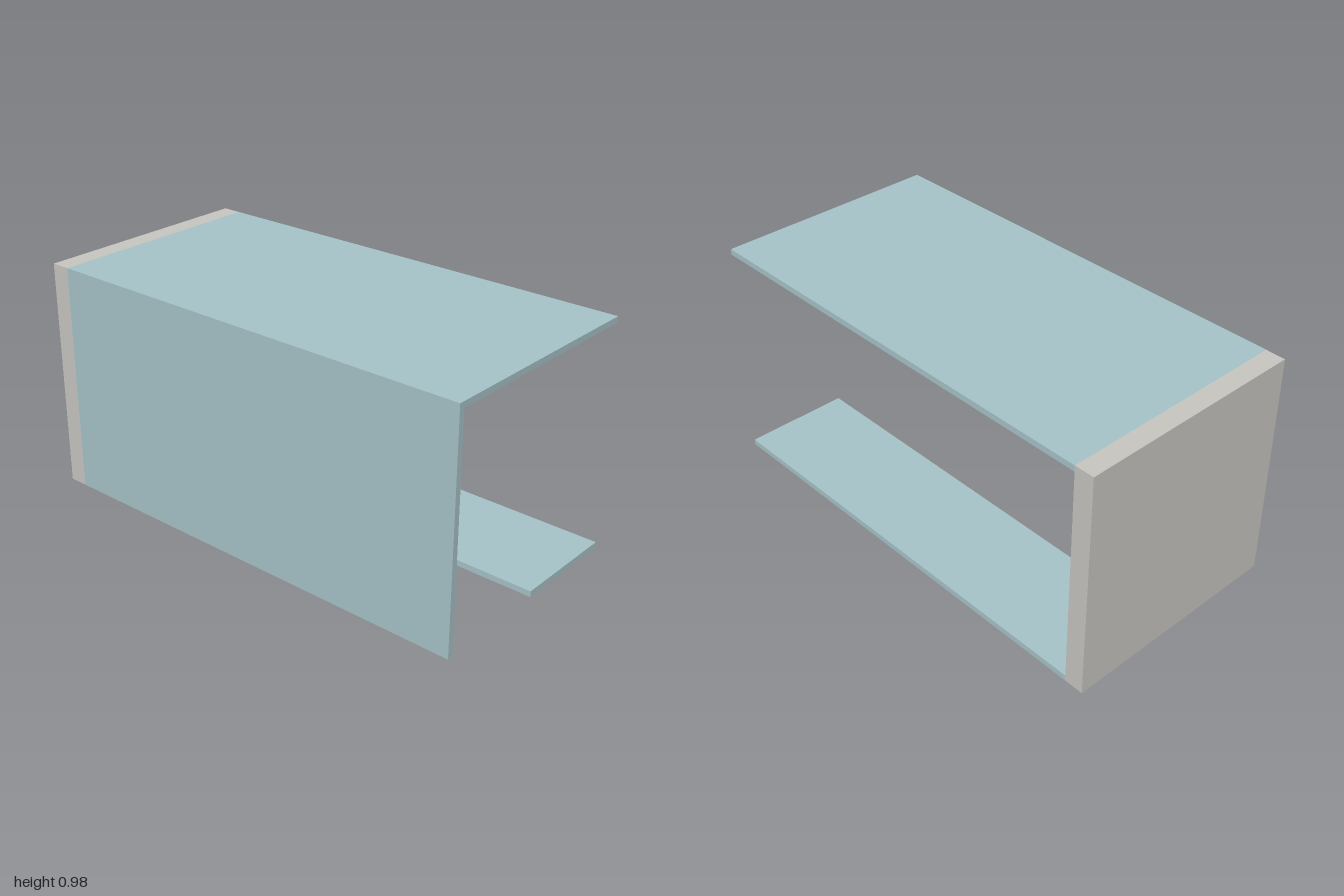
import * as THREE from 'three';

export function createModel() {
  const group = new THREE.Group();
  const material = (name, color) => {
    const m = new THREE.MeshStandardMaterial({ color });
    m.name = name;
    return m;
  };
  const panelBlue = material('panelBlue', 0xa8c5ca);
  const backGrey = material('backGrey', 0xcac7c2);
  const metal = material('metal', 0x92959b);

  const add = (name, geometry, mat, x, y, z) => {
    const mesh = new THREE.Mesh(geometry, mat);
    mesh.name = name;
    mesh.position.set(x, y, z);
    group.add(mesh);
    return mesh;
  };
  // Box given by its limits on each axis
  const slab = (name, mat, [x0, x1], [y0, y1], [z0, z1]) =>
    add(name, new THREE.BoxGeometry(x1 - x0, y1 - y0, z1 - z0), mat,
      (x0 + x1) / 2, (y0 + y1) / 2, (z0 + z1) / 2);

  const W = 0.49, H = 0.98, T = 0.025, backZ = -0.917;

  // Cabinet panels
  slab('backPanel', backGrey, [-W, W], [0, H], [-1, backZ]);
  slab('topPanel', panelBlue, [-W, W], [H - T, H], [backZ, 1]);
  slab('sideWall', panelBlue, [-W, -W + T], [0, H - T], [backZ, 1]);
  slab('floorPanel', panelBlue, [0.025, W], [0, T], [backZ, 1]);

  // Disc with a long rod running towards the back
  const rx = -0.3625, ry = 0.873, discZ = 0.7725;
  add('disc', new THREE.CylinderGeometry(0.0925, 0.0925, 0.05, 32), metal, rx, ry, discZ);
  const rodFront = 0.69, rodBack = -0.767;
  const rod = add('rod', new THREE.CylinderGeometry(0.0245, 0.0245, rodFront - rodBack, 24),
    metal, rx, ry, (rodFront + rodBack) / 2);
  rod.rotation.x = Math.PI / 2;

  return group;
}
